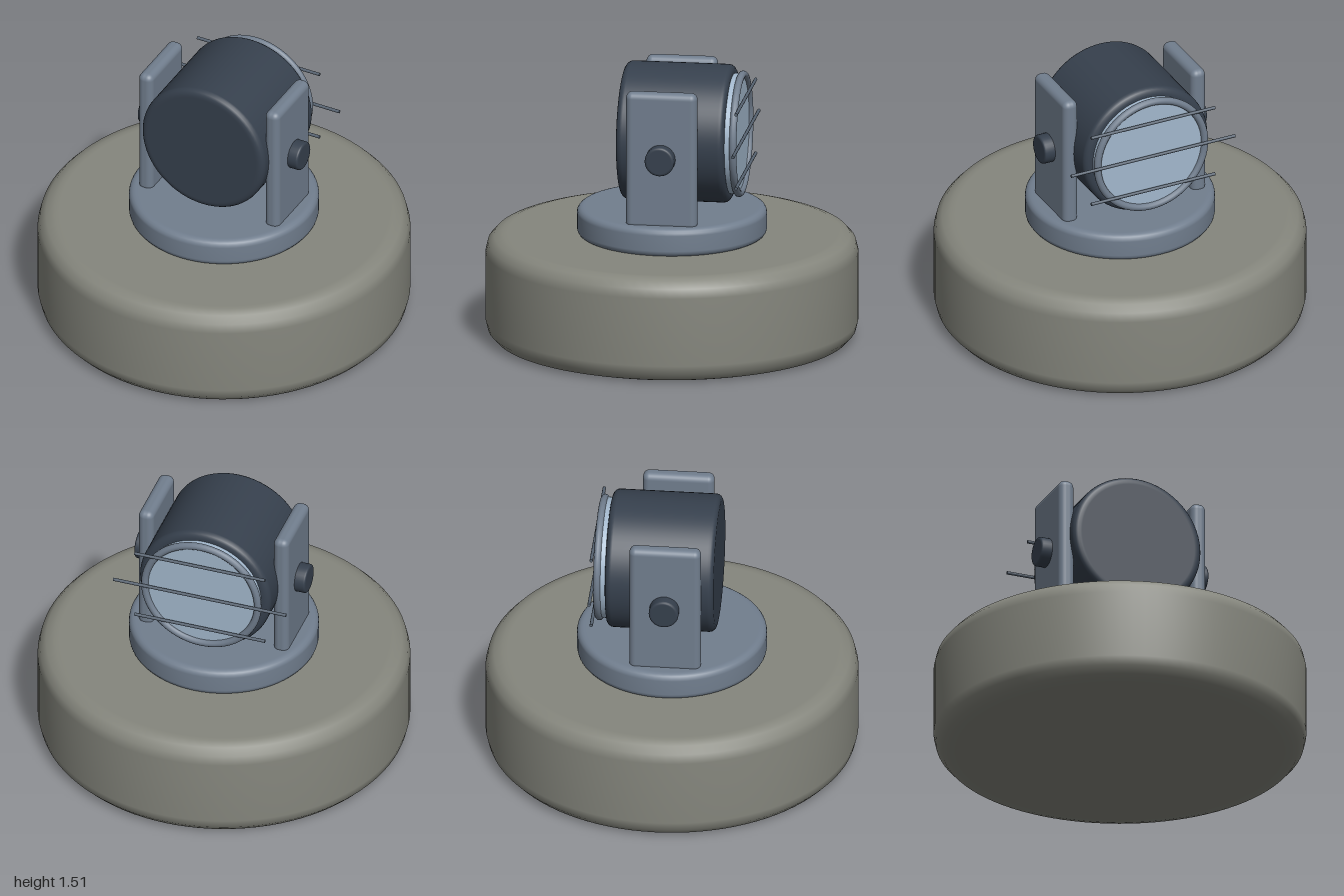
import * as THREE from 'three';
import { RoundedBoxGeometry } from 'three/addons/geometries/RoundedBoxGeometry.js';

const paint = (color) => new THREE.MeshStandardMaterial({ color });
const stone = paint(0x85867d);
const steel = paint(0x717e8e);
const dark = paint(0x36404d);
const glass = paint(0xa3b8cd);
const rod = paint(0x566270);

// Solid disc along y, from y = 0 to h, with rounded rims
function roundedDisc(r, h, bevelR, bevelH = bevelR, steps = 4, segments = 72) {
  const pts = [new THREE.Vector2(0, 0), new THREE.Vector2(r - bevelR * 1.3, 0)];
  for (let i = 0; i <= steps; i++) {
    const a = (i / steps) * Math.PI / 2;
    pts.push(new THREE.Vector2(r - bevelR + bevelR * Math.sin(a), bevelH - bevelH * Math.cos(a)));
  }
  const upper = pts.map((p) => new THREE.Vector2(p.x, h - p.y)).reverse();
  return new THREE.LatheGeometry([...pts, ...upper], segments);
}

export function createModel() {
  const model = new THREE.Group();
  const add = (name, geometry, material, x = 0, y = 0, z = 0) => {
    const mesh = new THREE.Mesh(geometry, material);
    mesh.name = name;
    mesh.position.set(x, y, z);
    model.add(mesh);
    return mesh;
  };

  // Plinth and turntable
  add('plinth', roundedDisc(1, 0.575, 0.09, 0.1, 3, 96), stone);
  add('turntable', roundedDisc(0.51, 0.155, 0.035), steel, 0, 0.57, 0);

  // Yoke arms with pivot knobs
  for (const side of [1, -1]) {
    const label = side > 0 ? 'left' : 'right';
    add(label + 'YokeArm', new RoundedBoxGeometry(0.085, 0.755, 0.385, 4, 0.035), steel, side * 0.383, 1.077, 0);
    const knob = add(label + 'PivotKnob', roundedDisc(0.08, 0.08, 0.012, 0.012, 3, 32), dark, side * 0.405, 1.093, 0);
    knob.rotation.z = -side * Math.PI / 2;
  }

  // Lamp drum, lens and rim facing the back
  const lampY = 1.137;
  const drum = add('lampDrum', roundedDisc(0.372, 0.585, 0.035), dark, 0, lampY, 0.255);
  drum.rotation.x = -Math.PI / 2;
  const lens = add('lens', new THREE.CylinderGeometry(0.325, 0.325, 0.06, 64), glass, 0, lampY, -0.345);
  lens.rotation.x = -Math.PI / 2;
  add('lensRim', new THREE.TorusGeometry(0.32, 0.02, 12, 72), steel, 0, lampY, -0.375);

  // Guard bars across the lens
  [[0.205, 0.74], [0, 0.98], [-0.205, 0.74]].forEach(([dy, length], i) => {
    const bar = add('guardBar' + (i + 1), new THREE.CylinderGeometry(0.009, 0.009, length, 10), rod, 0, lampY + dy, -0.4);
    bar.rotation.z = Math.PI / 2;
  });

  return model;
}
